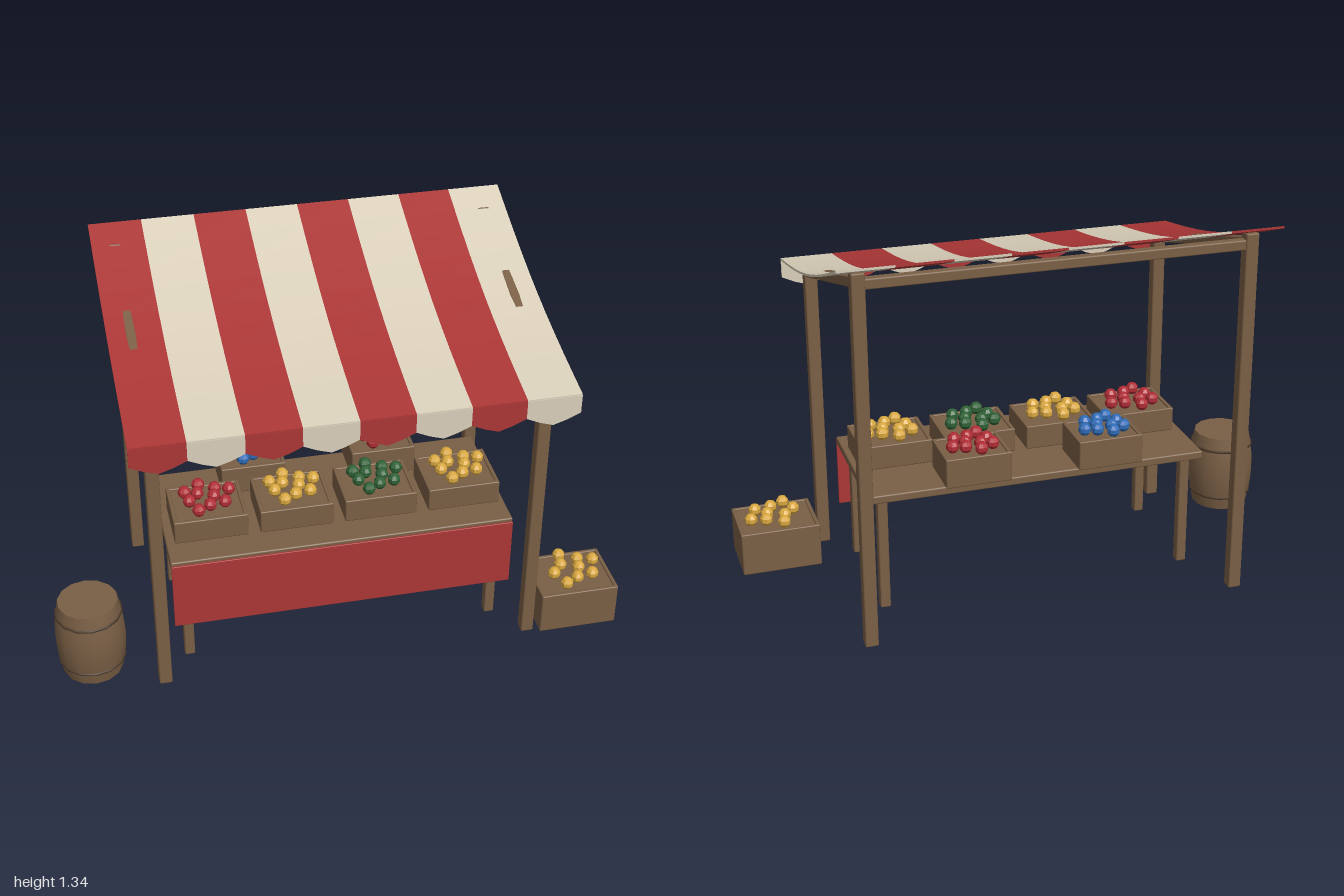
import * as THREE from 'three';
import { RoundedBoxGeometry } from 'three/addons/geometries/RoundedBoxGeometry.js';

const mat = (name, color, flatShading = false) =>
  Object.assign(new THREE.MeshStandardMaterial({ color, flatShading }), { name });

const CX = 0.0135; // middle of the stall

export function createModel() {
  const root = new THREE.Group();
  root.name = 'marketStall';

  const wood = mat('wood', 0x7a5f45);
  const iron = mat('darkBand', 0x4a3828);
  const red = mat('redCloth', 0xab3636);
  const cream = mat('creamCloth', 0xd9cfba);
  const redFruit = mat('redFruit', 0xb02c35, true);
  const yellowFruit = mat('yellowFruit', 0xd9a83f, true);
  const greenFruit = mat('greenFruit', 0x2f6136, true);
  const blueFruit = mat('blueFruit', 0x2f6cb8, true);

  const add = (name, geo, material, x = 0, y = 0, z = 0, parent = root) => {
    const m = new THREE.Mesh(geo, material);
    m.name = name;
    m.position.set(x, y, z);
    parent.add(m);
    return m;
  };
  const box = (name, w, h, d, x, y, z, parent = root, material = wood) =>
    add(name, new RoundedBoxGeometry(w, h, d, 1, Math.min(0.005, w / 4, h / 4, d / 4)), material, x, y, z, parent);

  // Frame: posts, cross beams and sloping rafters
  const frame = new THREE.Group();
  frame.name = 'frame';
  root.add(frame);
  for (const s of [-1, 1]) {
    const x = CX + s * 0.654;
    box('frontPost', 0.045, 1.08, 0.045, x, 0.54, 0.369, frame);
    box('backPost', 0.045, 1.304, 0.045, x, 0.652, -0.415, frame);
    const dy = 0.221, dz = 0.784;
    const rafter = box('rafter', 0.035, 0.035, Math.hypot(dy, dz), x, 1.161, -0.023, frame);
    rafter.rotation.x = Math.atan2(dy, dz);
  }
  box('frontBeam', 1.308, 0.035, 0.035, CX, 1.055, 0.369, frame);
  box('backBeam', 1.308, 0.035, 0.035, CX, 1.265, -0.415, frame);

  // Canopy: sagging striped cloth with a pointed valance
  const canopy = new THREE.Group();
  canopy.name = 'canopy';
  root.add(canopy);
  const stripes = 8, sw = 1.467 / stripes, x0 = CX - 1.467 / 2;
  const roofPoint = (t) => [-0.49 + 0.985 * t, 1.07 + 0.27 * t - 0.033 * Math.sin(Math.PI * t)];
  const N = 10, profile = new THREE.Shape();
  for (let i = 0; i <= N; i++) {
    const [u, y] = roofPoint(i / N);
    i ? profile.lineTo(u, y) : profile.moveTo(u, y);
  }
  for (let i = N; i >= 0; i--) {
    const [u, y] = roofPoint(i / N);
    profile.lineTo(u, y - 0.008);
  }
  const roofGeo = new THREE.ExtrudeGeometry(profile, { depth: sw, bevelEnabled: false });
  roofGeo.rotateY(Math.PI / 2);

  const flap = new THREE.Shape();
  flap.moveTo(0, 1.066);
  flap.lineTo(0, 1.0);
  for (const [t, d] of [[0.25, 0.021], [0.5, 0.036], [0.75, 0.021], [1, 0]]) flap.lineTo(t * sw, 1 - d);
  flap.lineTo(sw, 1.066);
  const flapGeo = new THREE.ExtrudeGeometry(flap, { depth: 0.008, bevelEnabled: false });

  for (let i = 0; i < stripes; i++) {
    const cloth = i % 2 ? cream : red;
    add('canopyStripe', roofGeo, cloth, x0 + i * sw, 0, 0, canopy);
    add('valanceFlap', flapGeo, cloth, x0 + i * sw, 0, 0.484, canopy);
  }

  // Table with a front cloth
  const table = new THREE.Group();
  table.name = 'table';
  root.add(table);
  box('tableTop', 1.206, 0.029, 0.522, CX, 0.43, 0.032, table);
  for (const s of [-1, 1])
    for (const z of [0.241, -0.179]) box('tableLeg', 0.036, 0.42, 0.037, CX + s * 0.55, 0.21, z, table);
  box('tableCloth', 1.204, 0.258, 0.008, CX, 0.304, 0.298, table, red);

  // Crates heaped with fruit
  const spots = [[-0.019, -0.084], [0.093, -0.036], [-0.067, 0.012], [0.04, -0.05], [-0.03, -0.03],
    [0.067, 0.039], [-0.04, 0.076], [0.03, -0.004], [0.008, 0.05], [-0.078, -0.045]];
  const fruitGeo = new THREE.SphereGeometry(0.0235, 8, 5);
  const crate = (x, y, z, w, h, d, fruit) => {
    const g = new THREE.Group();
    g.name = 'crate';
    g.position.set(x, y, z);
    root.add(g);
    box('crateBody', w, h - 0.006, d, 0, (h - 0.006) / 2, 0, g);
    for (const s of [-1, 1]) {
      box('crateRim', w, 0.014, 0.014, 0, h - 0.007, s * (d / 2 - 0.007), g);
      box('crateRim', 0.014, 0.014, d, s * (w / 2 - 0.007), h - 0.007, 0, g);
    }
    spots.slice(0, 9).concat(w < 0.27 ? [spots[9]] : []).forEach(([fx, fz], i) => {
      const f = add('fruit', fruitGeo, fruit, fx * w / 0.284, h + 0.019, fz * d / 0.23, g);
      f.rotation.y = i * 1.3;
    });
  };
  [redFruit, yellowFruit, greenFruit, yellowFruit].forEach((f, i) =>
    crate(-0.431 + i * 0.2995, 0.444, 0.083, 0.257, 0.087, 0.213, f));
  crate(-0.238, 0.444, -0.153, 0.232, 0.106, 0.187, blueFruit);
  crate(0.236, 0.444, -0.153, 0.232, 0.106, 0.187, redFruit);
  crate(0.853, 0, 0.291, 0.284, 0.16, 0.23, yellowFruit);

  // Barrel with two hoops
  const barrel = new THREE.Group();
  barrel.name = 'barrel';
  barrel.position.set(-0.877, 0, 0.237);
  root.add(barrel);
  const side = [[0.104, 0], [0.114, 0.05], [0.121, 0.1], [0.1235, 0.147], [0.121, 0.194], [0.114, 0.244], [0.104, 0.294]]
    .map(([r, y]) => new THREE.Vector2(r, y));
  add('barrelStaves', new THREE.LatheGeometry(side, 14), wood, 0, 0, 0, barrel);
  const lid = new THREE.CircleGeometry(0.104, 14);
  add('barrelLid', lid, wood, 0, 0.294, 0, barrel).rotation.set(-Math.PI / 2, 0, Math.PI / 2);
  add('barrelBase', lid, wood, 0, 0, 0, barrel).rotation.set(Math.PI / 2, 0, Math.PI / 2);
  for (const y of [0.05, 0.244])
    add('barrelHoop', new THREE.TorusGeometry(0.114, 0.005, 6, 14), iron, 0, y, 0, barrel).rotation.set(Math.PI / 2, 0, Math.PI / 2);

  return root;
}
